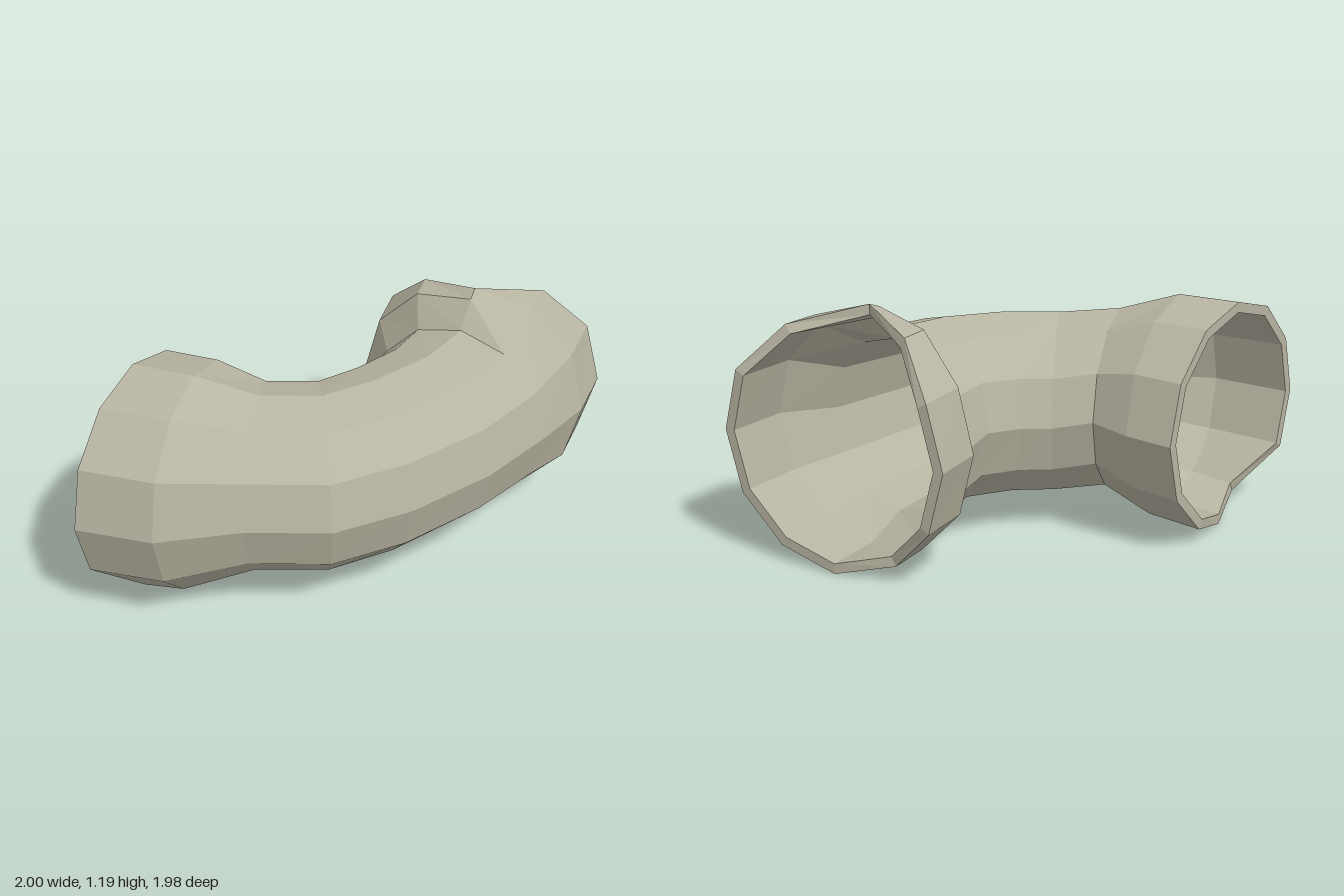
import * as THREE from 'three';

const SIDES = 12;
const WALL = 0.05;

// Cross-sections from the left-hand mouth round the bend to the back mouth:
// centre [x, z], vector to the outside of the bend [x, z], centre height,
// vertical radius, and small shifts for single corners (0 = outside, 3 = top, 9 = bottom)
const SECTIONS = [
  { c: [-0.925, 0.425], out: [-0.075, 0.56], y: 0.567, r: 0.563, shift: { 9: [0.055, 0, 0], 10: [0.14, 0, 0] } },
  { c: [-0.62, 0.43], out: [0, 0.55], y: 0.58, r: 0.55 },
  { c: [-0.34, 0.365], out: [0.085, 0.435], y: 0.595, r: 0.445 },
  { c: [-0.075, 0.24], out: [0.185, 0.41], y: 0.568, r: 0.447 },
  { c: [0.125, 0.055], out: [0.285, 0.345], y: 0.585, r: 0.447 },
  { c: [0.30, -0.205], out: [0.38, 0.235], y: 0.595, r: 0.447 },
  { c: [0.385, -0.49], out: [0.46, 0.1], y: 0.567, r: 0.475 },
  { c: [0.402, -0.70], out: [0.578, 0.02], y: 0.595, r: 0.595, shift: { 3: [0, -0.025, 0.11], 4: [0, 0, 0.05] } },
  {
    c: [0.405, -0.99], out: [0.595, 0], y: 0.595, r: 0.595,
    shift: { 2: [0, 0, 0.1], 3: [0, 0, 0.33], 4: [0, 0, 0.17], 8: [0, 0, 0.06] }, // chipped lip
  },
];

function ring({ c, out, y, r, shift = {} }, inset) {
  const k = 1 - inset / r;
  return Array.from({ length: SIDES }, (_, j) => {
    const a = (j / SIDES) * Math.PI * 2;
    const u = Math.cos(a) * k, v = Math.sin(a) * k;
    const [dx, dy, dz] = shift[j] || [0, 0, 0];
    return [c[0] + out[0] * u + dx, y + r * v + dy, c[1] + out[1] * u + dz];
  });
}

// Skin a list of rings with quads
function skin(rings) {
  const index = [];
  for (let i = 0; i < rings.length - 1; i++) {
    for (let j = 0; j < SIDES; j++) {
      const n = (j + 1) % SIDES;
      const a = i * SIDES + j, b = a + SIDES;
      const d = i * SIDES + n, e = d + SIDES;
      index.push(a, b, e, a, e, d);
    }
  }
  const g = new THREE.BufferGeometry();
  g.setAttribute('position', new THREE.Float32BufferAttribute(rings.flat(2), 3));
  g.setIndex(index);
  const flat = g.toNonIndexed();
  flat.computeVertexNormals();
  return flat;
}

export function createModel() {
  const group = new THREE.Group();
  group.name = 'bentPipe';
  const stone = new THREE.MeshStandardMaterial({ name: 'warm grey', color: 0xb8b4a2, flatShading: true });

  const outer = SECTIONS.map((s) => ring(s, 0));
  const inner = SECTIONS.map((s) => ring(s, WALL)).reverse();
  const last = SECTIONS.length - 1;

  const add = (name, rings) => {
    const mesh = new THREE.Mesh(skin(rings), stone);
    mesh.name = name;
    group.add(mesh);
  };
  add('outerWall', outer);
  add('innerWall', inner);
  add('backRim', [outer[last], inner[0]]);
  add('sideRim', [inner[last], outer[0]]);
  return group;
}
